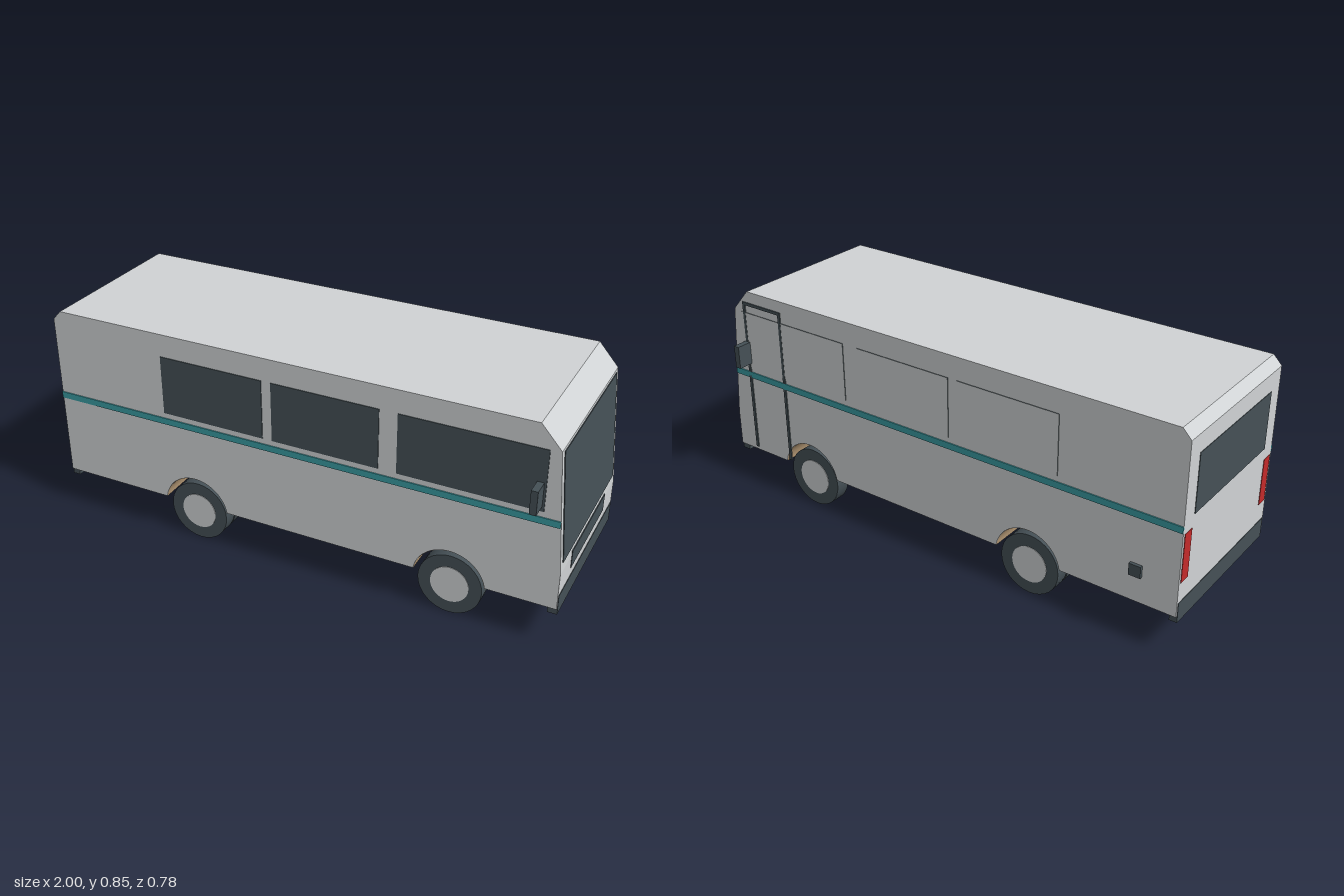
import * as THREE from 'three';

const mat = (name, color, side = THREE.FrontSide) => {
  const m = new THREE.MeshStandardMaterial({ color, side });
  m.name = name;
  return m;
};

export function createModel() {
  const paint = mat('grey paint', 0xd0d3d5);
  const dark = mat('dark trim', 0x455056);
  const teal = mat('teal stripe', 0x3a9ca3);
  const red = mat('red lens', 0xc42a2a);
  const tan = mat('tan liner', 0xc0a27c, THREE.DoubleSide);

  const bus = new THREE.Group();
  bus.name = 'bus';
  const add = (name, geo, material, x = 0, y = 0, z = 0) => {
    const m = new THREE.Mesh(geo, material);
    m.name = name;
    m.position.set(x, y, z);
    bus.add(m);
    return m;
  };
  // Box given by its minimum and maximum on each axis
  const block = (name, material, [x0, x1], [y0, y1], [z0, z1]) =>
    add(name, new THREE.BoxGeometry(x1 - x0, y1 - y0, z1 - z0), material,
      (x0 + x1) / 2, (y0 + y1) / 2, (z0 + z1) / 2);

  const W = 0.325, floorY = 0.157, axles = [-0.415, 0.61];
  const archY = 0.135, archR = 0.135;
  const a = Math.asin((floorY - archY) / archR);

  // Body: side profile with wheel arches running right through
  const s = new THREE.Shape();
  s.moveTo(-0.998, floorY);
  for (const x of axles) {
    s.lineTo(x - archR * Math.cos(a), floorY);
    s.absarc(x, archY, archR, Math.PI - a, a, true);
  }
  [[0.998, floorY], [0.998, 0.3], [0.96, 0.76], [0.885, 0.845], [-0.965, 0.845], [-0.998, 0.81]]
    .forEach(([x, y]) => s.lineTo(x, y));
  s.closePath();
  const body = new THREE.ExtrudeGeometry(s, { depth: 2 * W, bevelEnabled: false, curveSegments: 20 });
  add('body', body, paint, 0, 0, -W);

  // Arch liners
  for (const x of axles) {
    const liner = new THREE.CylinderGeometry(archR - 0.001, archR - 0.001, 2 * W - 0.002, 24, 1, true,
      Math.PI / 2 + a, Math.PI - 2 * a);
    liner.rotateX(Math.PI / 2);
    liner.rotateZ(0);
    // place the open half downwards
    liner.computeBoundingBox();
    const b = liner.boundingBox;
    if (b.max.x - b.min.x < b.max.y - b.min.y) liner.rotateZ(b.max.x > -b.min.x ? Math.PI / 2 : -Math.PI / 2);
    else if (b.max.y < -b.min.y) liner.rotateZ(Math.PI);
    add('archLiner', liner, tan, x, archY, 0);
  }

  // Side windows: dark glass on one side, painted panels with dark rims on the other
  for (const span of [[-0.53, -0.115], [-0.077, 0.335], [0.403, 0.922]]) {
    block('sideWindow', dark, span, [0.527, 0.757], [W - 0.003, W + 0.003]);
    block('blankedWindow', [dark, dark, dark, dark, dark, paint], span, [0.527, 0.757], [-W - 0.003, -W + 0.003]);
  }

  // Stripe on both sides
  for (const k of [-1, 1])
    block('stripe', teal, [-0.998, 0.981], [0.48, 0.505], [k * W - 0.004, k * W + 0.004]);

  // Windscreen follows the sloping front, grille below
  const screen = add('windscreen', new THREE.BoxGeometry(0.006, 0.416, 0.604), dark, 0.978, 0.5425, 0);
  screen.rotation.z = Math.atan2(0.038, 0.46);
  block('grille', dark, [0.993, 1], [0.245, 0.315], [-0.197, 0.197]);

  // Bumpers
  block('frontBumper', dark, [0.965, 1], [0.132, 0.209], [-0.318, 0.318]);
  block('rearBumper', dark, [-1, -0.97], [0.132, 0.209], [-0.318, 0.318]);

  // Rear window and tail lights
  block('rearWindow', dark, [-1, -0.994], [0.52, 0.74], [-0.258, 0.258]);
  for (const k of [-1, 1])
    block('tailLight', red, [-1, -0.994], [0.287, 0.472], [k * 0.291 - 0.023, k * 0.291 + 0.023]);

  // Door outline and fuel cap on the right side
  const skin = [-W - 0.004, -W + 0.002];
  for (const x of [0.72, 0.905])
    block('doorPost', dark, [x - 0.006, x + 0.006], [0.17, 0.8], skin);
  block('doorHeader', dark, [0.714, 0.911], [0.788, 0.8], skin);
  block('fuelCap', dark, [-0.865, -0.82], [0.26, 0.305], [-0.337, -0.32]);

  // Mirrors
  for (const k of [-1, 1])
    block('mirror', dark, [0.89, 0.914], [0.545, 0.635], [k * 0.357 - 0.032, k * 0.357 + 0.032]);

  // Chassis rails and axles
  for (const z of [-0.13, 0.13])
    block('chassisRail', dark, [-0.91, 0.92], [0.137, 0.159], [z - 0.011, z + 0.011]);
  const disc = (r, w, n = 32) => new THREE.CylinderGeometry(r, r, w, n).rotateX(Math.PI / 2);
  for (const x of axles) add('axle', disc(0.013, 0.5, 12), dark, x, 0.121, 0);

  // Wheels: single in front, double behind
  const wheel = (x, z) => {
    add('tyre', disc(0.12, 0.059), dark, x, 0.12, z);
    add('hub', disc(0.072, 0.063), paint, x, 0.12, z);
  };
  for (const k of [-1, 1]) {
    wheel(axles[1], k * 0.28);
    wheel(axles[0], k * 0.28);
    wheel(axles[0], k * 0.214);
  }
  return bus;
}
